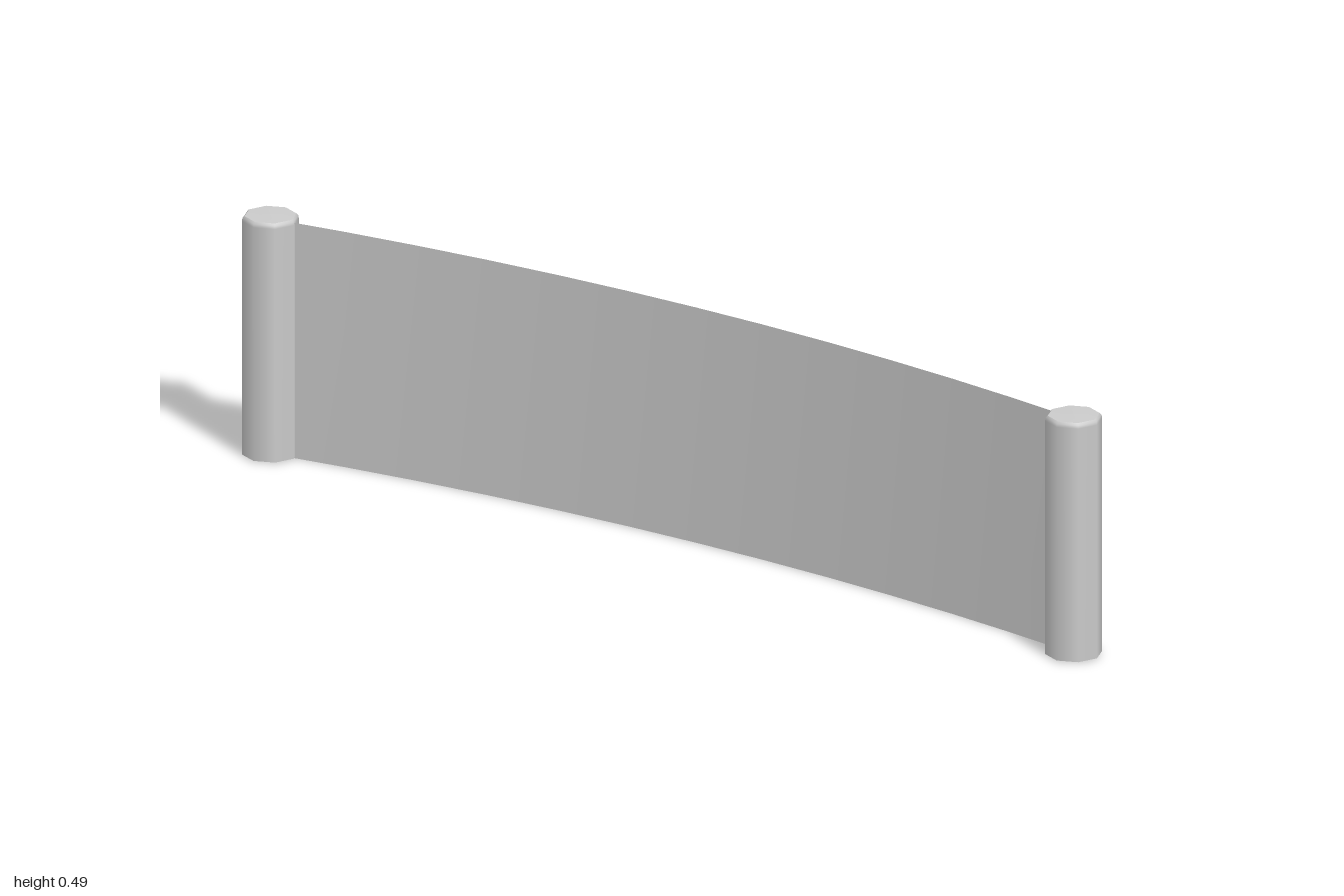
import * as THREE from 'three';

const V = (x, y) => new THREE.Vector2(x, y);

export function createModel() {
  const group = new THREE.Group();
  const grey = new THREE.MeshStandardMaterial({ color: 0xcccccc });
  const greyDouble = new THREE.MeshStandardMaterial({ color: 0xcccccc, side: THREE.DoubleSide });

  const postX = 0.945, postZ = 0.011, radius = 0.055;
  const base = 0.002, postTop = 0.487;

  // Eight-sided smooth posts: side, softened rim, flat ends
  const postParts = {
    postSide: [V(radius, base), V(radius, 0.476), V(radius - 0.001, 0.482), V(radius - 0.005, 0.486)],
    postTop: [V(radius - 0.005, 0.486), V(0, postTop)],
    postBottom: [V(0, base), V(radius, base)],
  };
  for (const side of [1, -1]) {
    const post = new THREE.Group();
    post.name = side > 0 ? 'leftPost' : 'rightPost';
    for (const [name, profile] of Object.entries(postParts)) {
      const mesh = new THREE.Mesh(new THREE.LatheGeometry(profile, 8), grey);
      mesh.name = name;
      post.add(mesh);
    }
    post.position.set(side * postX, 0, postZ);
    group.add(post);
  }

  // Thin panel from post to post, bowed gently backwards
  const height = 0.478, sag = 0.076;
  const panelGeometry = new THREE.PlaneGeometry(2 * postX, height, 12, 1);
  const pos = panelGeometry.attributes.position;
  for (let i = 0; i < pos.count; i++) {
    const t = pos.getX(i) / postX;
    pos.setZ(i, postZ - sag * (1 - t * t));
    pos.setY(i, pos.getY(i) + height / 2);
  }
  panelGeometry.computeVertexNormals();
  const panel = new THREE.Mesh(panelGeometry, greyDouble);
  panel.name = 'curvedPanel';
  group.add(panel);

  return group;
}
